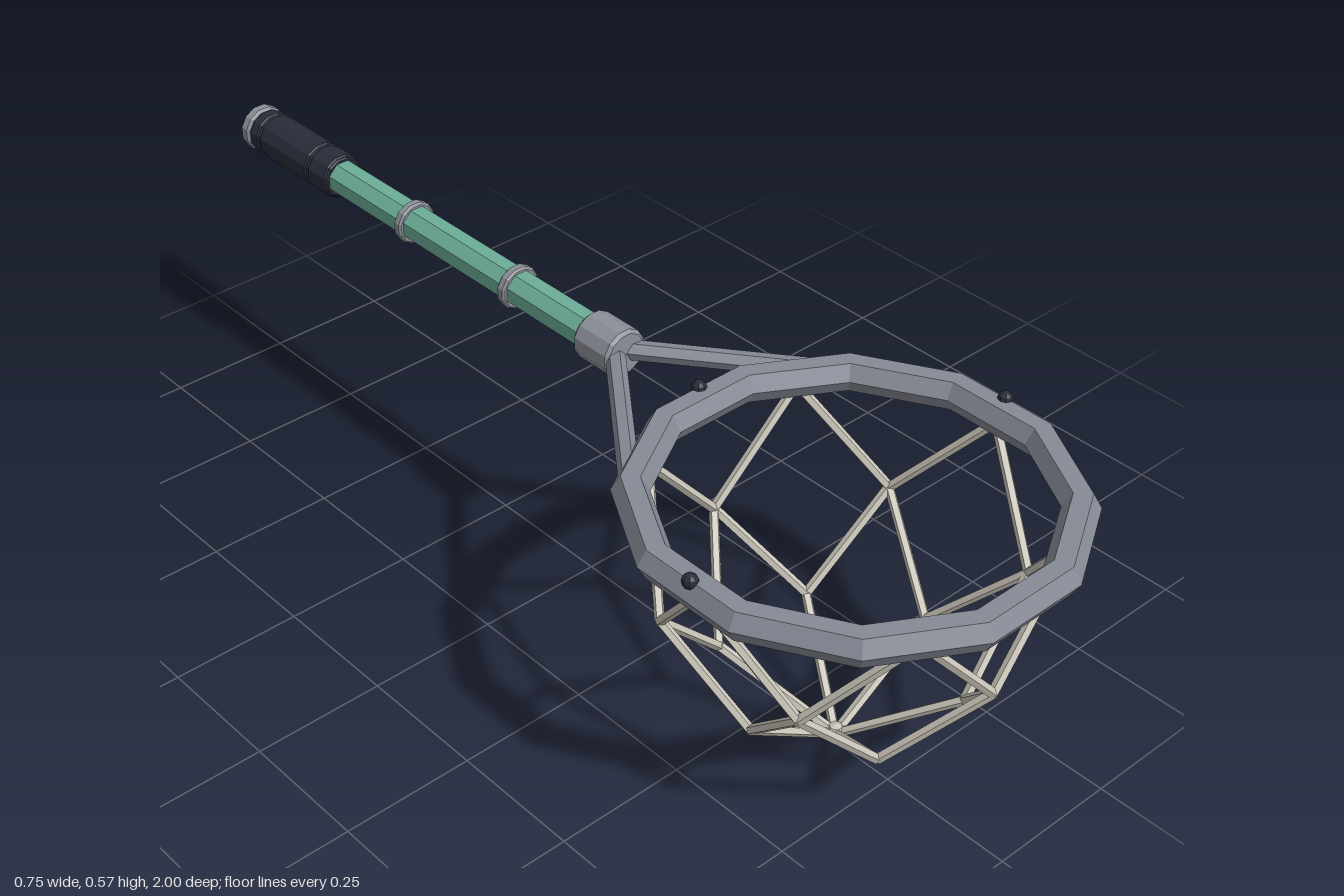
import * as THREE from 'three';

const mat = (name, color) => new THREE.MeshStandardMaterial({ name, color, flatShading: true });

export function createModel() {
  const frameGrey = mat('frameGrey', 0x858a95);
  const fittingGrey = mat('fittingGrey', 0x8c9098);
  const shaftGreen = mat('shaftGreen', 0x6cae98);
  const gripDark = mat('gripDark', 0x2a2c3a);
  const cordBeige = mat('cordBeige', 0xcbc6ba);

  const root = new THREE.Group();
  root.name = 'landingNet';
  const Y = 0.52, HOOP_Z = 0.627;

  const add = (name, geo, material, x = 0, y = 0, z = 0, parent = root) => {
    const m = new THREE.Mesh(geo, material);
    m.name = name;
    m.position.set(x, y, z);
    parent.add(m);
    return m;
  };
  // Straight rod between two points
  const rod = (name, a, b, r, sides, material, parent = root) => {
    const d = b.clone().sub(a);
    const m = add(name, new THREE.CylinderGeometry(r, r, d.length(), sides), material, 0, 0, 0, parent);
    m.position.copy(a).addScaledVector(d, 0.5);
    m.quaternion.setFromUnitVectors(new THREE.Vector3(0, 1, 0), d.normalize());
    return m;
  };
  // Turned part along the handle axis; profile holds [radius, z] from back to front
  const turned = (name, profile, sides, material) => {
    const geo = new THREE.LatheGeometry(profile.map(([r, z]) => new THREE.Vector2(r, z)), sides);
    geo.rotateY(Math.PI / sides);
    geo.rotateX(Math.PI / 2);
    return add(name, geo, material, 0, Y + 0.002, 0);
  };
  const band = (name, z0, z1, r, c, sides, material) =>
    turned(name, [[0, z0], [r - c, z0], [r, z0 + c], [r, z1 - c], [r - c, z1], [0, z1]], sides, material);

  // Twelve-sided hoop with a flat side to the front
  const hoop = new THREE.TorusGeometry(0.354, 0.032, 6, 12);
  hoop.rotateZ(Math.PI / 12);
  hoop.rotateX(Math.PI / 2);
  add('hoop', hoop, frameGrey, 0, Y, HOOP_Z);

  // Yoke arms joining hoop to collar
  for (const s of [-1, 1]) {
    rod('yokeArm', new THREE.Vector3(s * 0.012, Y, 0.075), new THREE.Vector3(s * 0.25, Y, 0.377), 0.018, 6, frameGrey);
  }

  // Knobs on the hoop
  for (const a of [0, Math.PI / 2, Math.PI]) {
    add('hoopKnob', new THREE.SphereGeometry(0.014, 8, 6), gripDark,
      Math.cos(a) * 0.357, 0.547, HOOP_Z - Math.sin(a) * 0.357);
  }

  // Handle
  band('collar', 0, 0.09, 0.046, 0.006, 12, fittingGrey);
  band('shaft', -0.75, 0.01, 0.035, 0.001, 8, shaftGreen);
  for (const z of [-0.2, -0.5]) band('shaftRing', z - 0.01, z + 0.01, 0.042, 0.004, 12, fittingGrey);
  band('grip', -0.975, -0.72, 0.042, 0.004, 12, gripDark);
  for (const [z0, z1] of [[-0.97, -0.945], [-0.937, -0.785], [-0.777, -0.723]]) {
    band('gripWrap', z0, z1, 0.045, 0.003, 12, gripDark);
  }
  band('endCap', -1, -0.974, 0.046, 0.005, 12, fittingGrey);

  // Net: rows of six nodes, alternate rows turned by half a step
  const net = new THREE.Group();
  net.name = 'net';
  root.add(net);
  const node = (r, y, step) => {
    const a = step * Math.PI / 3;
    return new THREE.Vector3(Math.cos(a) * r, y, HOOP_Z + Math.sin(a) * r);
  };
  const bottom = new THREE.Vector3(0, 0.018, HOOP_Z);
  for (let i = 0; i < 6; i++) {
    const low = node(0.21, 0.155, i);
    rod('netCord', bottom, low, 0.009, 5, cordBeige, net);
    for (const h of [-0.5, 0.5]) {
      const mid = node(0.311, 0.32, i + h);
      rod('netCord', low, mid, 0.009, 5, cordBeige, net);
      rod('netCord', mid, node(0.34, 0.508, i), 0.009, 5, cordBeige, net);
    }
  }
  add('netKnot', new THREE.SphereGeometry(0.02, 6, 5), cordBeige, 0, 0.019, HOOP_Z, net);

  return root;
}
